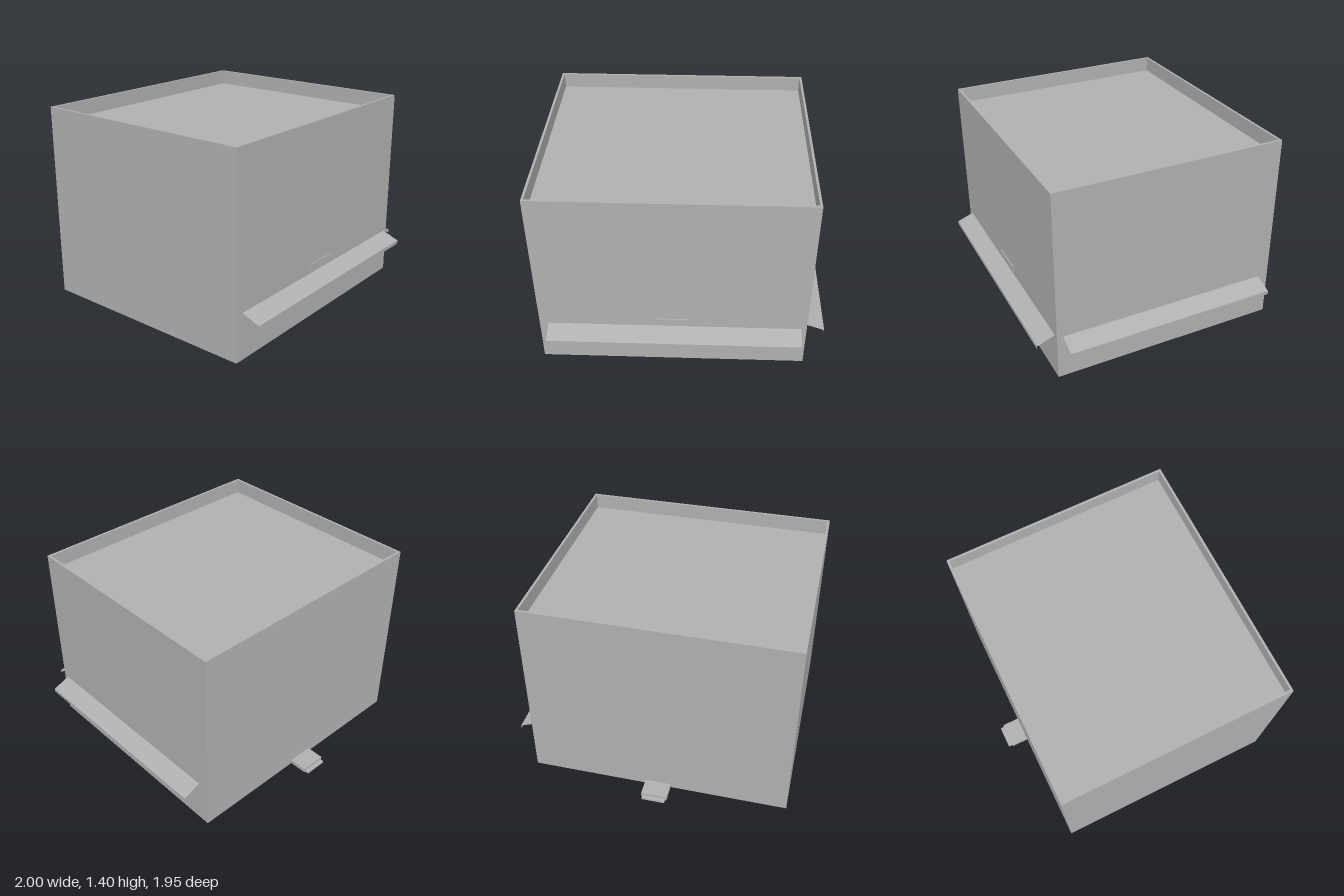
import * as THREE from 'three';

// Flat-shaded sheet through a list of sections with equal point counts
function skin(sections, closed) {
  const pos = [];
  for (let i = 0; i < sections.length - 1; i++) {
    const lo = sections[i], hi = sections[i + 1], n = lo.length;
    for (let j = 0; j < (closed ? n : n - 1); j++) {
      const k = (j + 1) % n;
      pos.push(...lo[j], ...lo[k], ...hi[k], ...lo[j], ...hi[k], ...hi[j]);
    }
  }
  const g = new THREE.BufferGeometry();
  g.setAttribute('position', new THREE.Float32BufferAttribute(pos, 3));
  g.computeVertexNormals();
  return g;
}

// Rectangular ring at height y, shrunk by inset
const ring = ([x0, x1, z0, z1], y, inset = 0) => [
  [x0 + inset, y, z1 - inset], [x1 - inset, y, z1 - inset],
  [x1 - inset, y, z0 + inset], [x0 + inset, y, z0 + inset],
];

export function createModel() {
  const model = new THREE.Group();
  const grey = new THREE.MeshStandardMaterial({ color: 0xb0b0b0, side: THREE.DoubleSide });
  grey.name = 'plain grey';

  function add(name, geometry) {
    const mesh = new THREE.Mesh(geometry, grey);
    mesh.name = name;
    model.add(mesh);
    return mesh;
  }

  // Horizontal panel filling a rectangle
  function panel(name, [x0, x1, z0, z1], y, inset = 0) {
    const g = new THREE.PlaneGeometry(x1 - x0 - 2 * inset, z1 - z0 - 2 * inset);
    g.rotateX(-Math.PI / 2);
    add(name, g).position.set((x0 + x1) / 2, y, (z0 + z1) / 2);
  }

  // Hollow walls, open underneath, with a parapet around a sunken roof
  const body = [-1, 0.867, -0.817, 0.845], top = 1.4, deck = 1.29, rim = 0.017;
  add('walls', skin([
    ring(body, 0), ring(body, top), ring(body, top, rim), ring(body, deck, rim),
  ], true));
  panel('roofDeck', body, deck, rim);

  // Awnings: drop lip and sloping sheet, [distance out from wall, height]
  const profile = [[0.128, 0.253], [0.128, 0.28], [0, 0.33]];
  add('frontAwning', skin(profile.map(([d, y]) =>
    [[-0.94, y, 0.843 + d], [0.83, y, 0.843 + d]])));
  add('sideAwning', skin(profile.map(([d, y]) =>
    [[0.87 + d, y, 0.803], [0.87 + d, y, -0.738]])));

  // Small blank sign above the front awning
  add('sign', new THREE.BoxGeometry(0.255, 0.05, 0.008)).position.set(-0.067, 0.373, 0.848);

  // Back door steps, hollow underneath
  const steps = [
    ['upperStep', [-0.16, 0.027, -0.946, -0.817], 0.03],
    ['lowerStep', [-0.15, 0.017, -0.975, -0.946], 0.013],
  ];
  for (const [name, rect, h] of steps) {
    add(name + 'Sides', skin([ring(rect, 0), ring(rect, h)], true));
    panel(name + 'Tread', rect, h);
  }
  return model;
}
